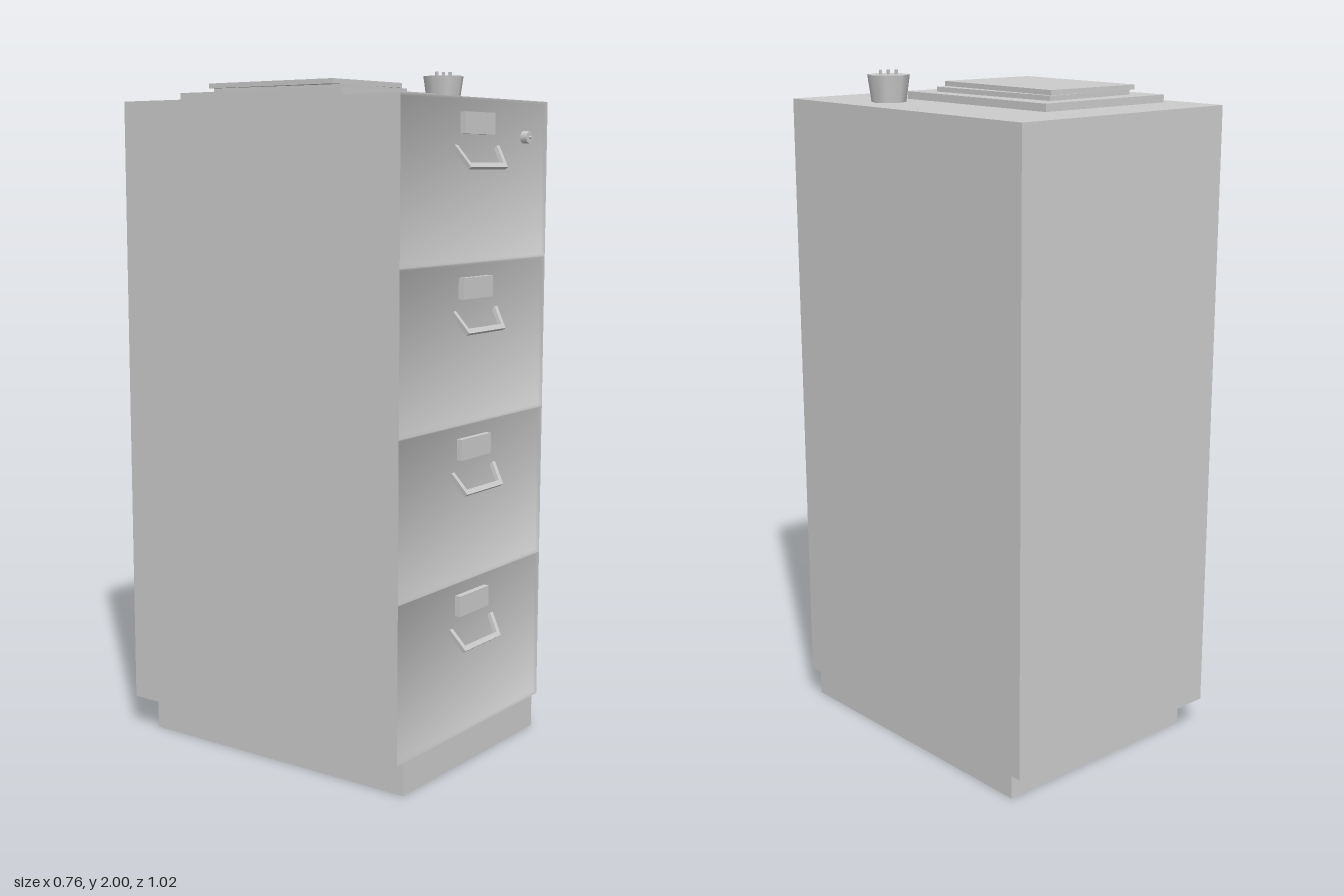
import * as THREE from 'three';

const grey = new THREE.MeshStandardMaterial({ color: 0xcccccc, side: THREE.DoubleSide });
grey.name = 'grey';

const W = 0.382, BACK = -0.51, FRONT = 0.475, BASE = 0.095, TOP = 1.91;
const PITCH = (TOP - BASE) / 4;

function add(parent, name, geometry, x = 0, y = 0, z = 0) {
  const mesh = new THREE.Mesh(geometry, grey);
  mesh.name = name;
  mesh.position.set(x, y, z);
  parent.add(mesh);
  return mesh;
}

// Box given by its limits
function block(parent, name, x0, x1, y0, y1, z0, z1) {
  return add(parent, name, new THREE.BoxGeometry(x1 - x0, y1 - y0, z1 - z0),
    (x0 + x1) / 2, (y0 + y1) / 2, (z0 + z1) / 2);
}

// Box with chosen sides left out (order: +x, -x, +y, -y, +z, -z)
function openBox(w, h, d, omitted) {
  const g = new THREE.BoxGeometry(w, h, d);
  const index = Array.from(g.index.array);
  g.setIndex(index.filter((_, i) => !omitted.includes(Math.floor(i / 6))));
  g.clearGroups();
  return g;
}

// Shallow pressed panel: outer rim, sloped border and recessed face with soft normals
function panelGeometry() {
  const rings = [[0, 0, 0.1], [0.007, -0.01, 0.3]];
  const pos = [], nor = [], idx = [];
  for (const [inset, z, tilt] of rings) {
    for (const [sx, sy] of [[-1, -1], [1, -1], [1, 1], [-1, 1]]) {
      pos.push(sx * (W - inset), sy * (PITCH / 2 - inset), z);
      nor.push(...new THREE.Vector3(-sx * tilt, -sy * tilt, 1).normalize().toArray());
    }
  }
  for (let i = 0; i < 4; i++) {
    const j = (i + 1) % 4;
    idx.push(i, j, 4 + j, i, 4 + j, 4 + i);
  }
  idx.push(4, 5, 6, 4, 6, 7);
  const g = new THREE.BufferGeometry();
  g.setAttribute('position', new THREE.Float32BufferAttribute(pos, 3));
  g.setAttribute('normal', new THREE.Float32BufferAttribute(nor, 3));
  g.setIndex(idx);
  return g;
}

// Bent bar pull, leaning outward toward its lower edge
function handleGeometry() {
  const outline = [[-0.117, 0], [-0.097, -0.073], [0.097, -0.073], [0.117, 0],
    [0.102, 0], [0.086, -0.058], [-0.086, -0.058], [-0.102, 0]];
  const shape = new THREE.Shape(outline.map(([x, y]) => new THREE.Vector2(x, y)));
  return new THREE.ExtrudeGeometry(shape, { depth: 0.012, bevelEnabled: false }).rotateX(-0.6);
}

export function createModel() {
  const model = new THREE.Group();
  model.name = 'filingCabinet';

  // Cabinet shell, open in front and below
  add(model, 'cabinetShell', openBox(W * 2, TOP - BASE, FRONT - BACK, [3, 4]),
    0, (TOP + BASE) / 2, (FRONT + BACK) / 2);

  // Hollow plinth
  add(model, 'plinth', openBox(0.704, BASE, 0.92, [3]), 0, BASE / 2, 0.015);

  // Drawers, each with a label holder and a pull
  const panel = panelGeometry(), pull = handleGeometry();
  for (let i = 0; i < 4; i++) {
    const drawer = new THREE.Group();
    drawer.name = 'drawer' + (i + 1);
    drawer.position.set(0, TOP - (i + 0.5) * PITCH, FRONT);
    add(drawer, 'drawerFront', panel);
    block(drawer, 'labelHolder', -0.079, 0.076, 0.127, 0.187, -0.011, 0.007);
    add(drawer, 'handle', pull, 0, 0.09, -0.013);
    model.add(drawer);
  }

  // Lock on the top drawer
  const cylinder = (r, len) => new THREE.CylinderGeometry(r, r, len, 8).rotateX(Math.PI / 2);
  add(model, 'lock', cylinder(0.018, 0.022), 0.26, 1.805, FRONT);
  add(model, 'lockKeyway', cylinder(0.004, 0.01), 0.26, 1.805, FRONT + 0.014);

  // Tray with two skewed stacks of paper
  block(model, 'tray', -0.325, 0.138, TOP, 1.932, -0.34, 0.243);
  const paper = new THREE.BoxGeometry(0.321, 0.014, 0.461);
  add(model, 'lowerPaper', paper, -0.082, 1.939, -0.051).rotation.y = 0.032;
  add(model, 'upperPaper', paper, -0.108, 1.953, -0.05).rotation.y = -0.028;

  // Pencil cup
  const cup = new THREE.Group();
  cup.name = 'pencilCup';
  cup.position.set(0.245, TOP, 0.197);
  add(cup, 'cupBody', new THREE.CylinderGeometry(0.061, 0.05, 0.077, 8), 0, 0.0385, 0);
  for (let i = -1; i <= 1; i++) {
    add(cup, 'pencil', new THREE.CylinderGeometry(0.006, 0.006, 0.04, 4), i * 0.019, 0.07, i * 0.012);
  }
  model.add(cup);
  return model;
}
